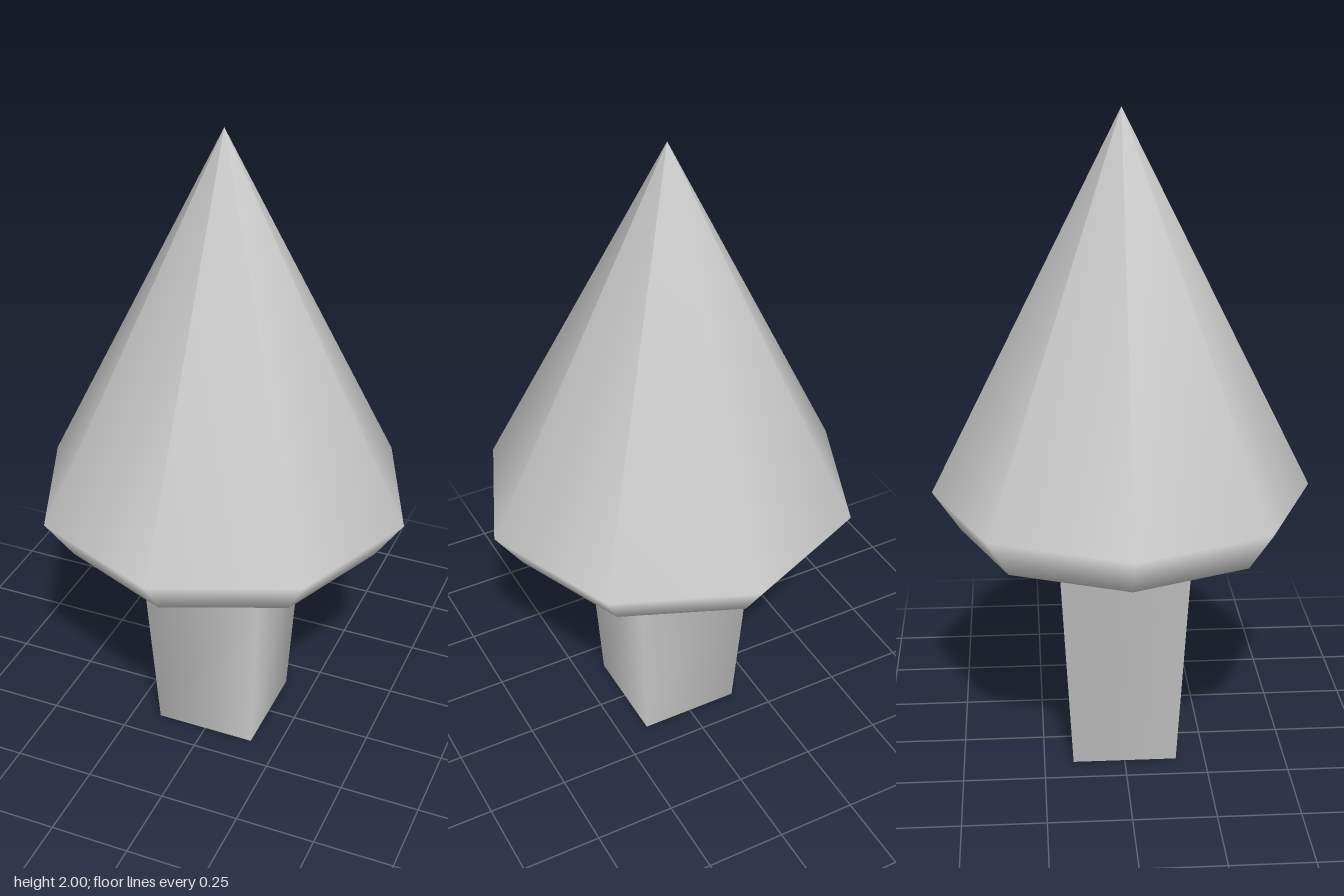
import * as THREE from 'three';

export function createModel() {
  const model = new THREE.Group();
  model.name = 'tree';
  const grey = new THREE.MeshStandardMaterial({ color: 0xcccccc });
  grey.name = 'light grey';

  // Foliage: eight-sided cone with an undercut rim and closed underside
  const profile = [[0, 0.725], [0.49, 0.725], [0.575, 0.85], [0, 2]]
    .map(([r, y]) => new THREE.Vector2(r, y));
  const foliage = new THREE.Mesh(new THREE.LatheGeometry(profile, 8), grey);
  foliage.name = 'foliage';
  model.add(foliage);

  // Trunk: square, narrowing towards the ground, with soft side shading
  const height = 0.725;
  const trunkGeometry = new THREE.CylinderGeometry(0.2 * Math.SQRT2, 0.16 * Math.SQRT2, height, 4);
  trunkGeometry.rotateY(Math.PI / 4).translate(0, height / 2, 0);
  const trunk = new THREE.Mesh(trunkGeometry, grey);
  trunk.name = 'trunk';
  model.add(trunk);

  return model;
}
